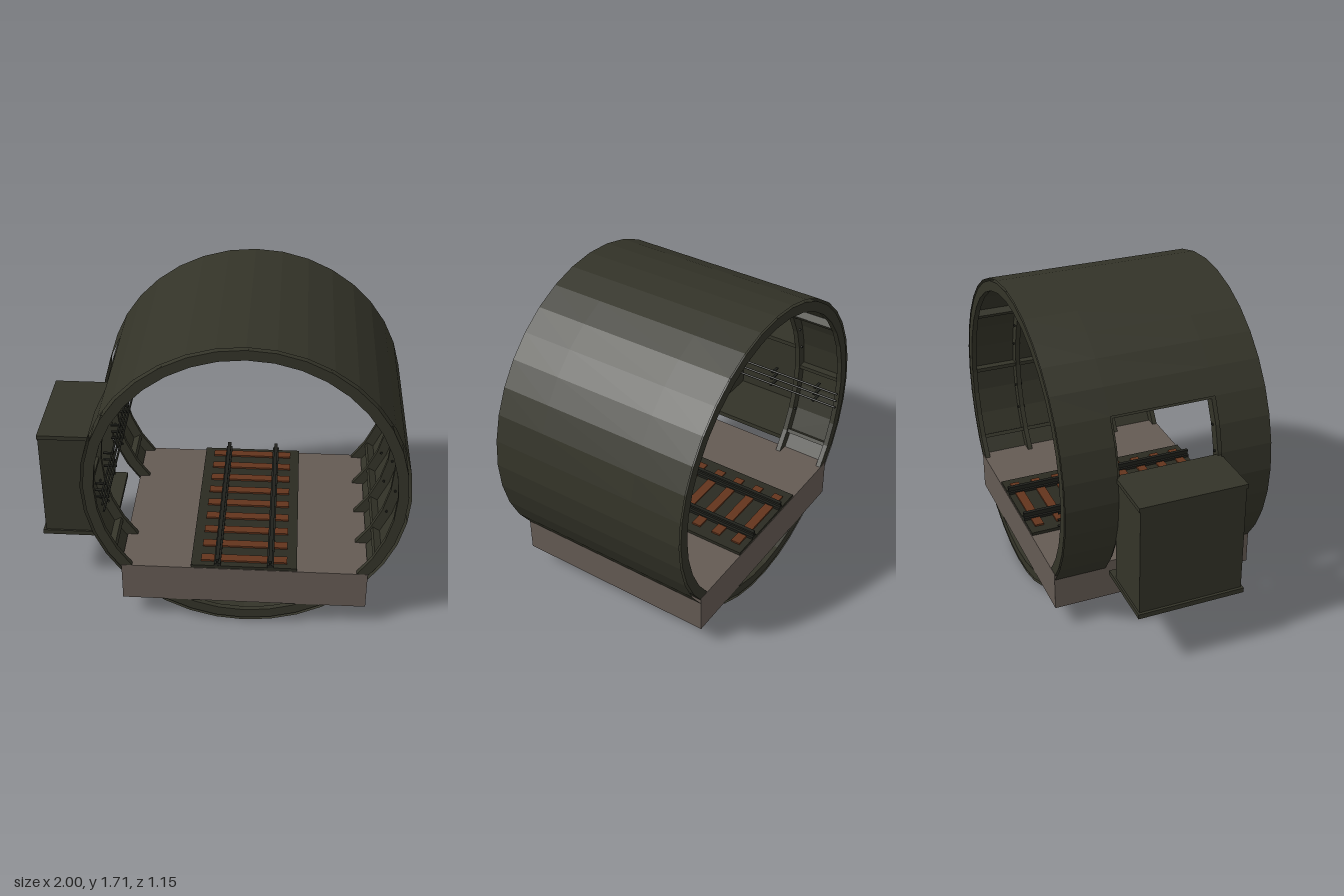
import * as THREE from 'three';

const CX = 0.143, CY = 0.857, HALF = 0.571;
const R_OUT = 0.857, R_SKIN = 0.842, R_RIB = 0.787;
const STEP = 10; // degrees per facet
const rad = THREE.MathUtils.degToRad;

const mat = (name, color, side = THREE.FrontSide) => {
  const m = new THREE.MeshStandardMaterial({ color, side });
  m.name = name;
  return m;
};

export function createModel() {
  const iron = mat('olive iron', 0x333328, THREE.DoubleSide);
  const concrete = mat('concrete', 0x645a53);
  const bedMat = mat('dark ballast', 0x2a2a21);
  const rust = mat('rusty timber', 0x63341c);
  const steel = mat('dark steel', 0x1f201b);

  const model = new THREE.Group();
  model.name = 'tunnelSection';
  const group = (name) => {
    const g = new THREE.Group();
    g.name = name;
    model.add(g);
    return g;
  };
  const add = (parent, name, geo, material, x = 0, y = 0, z = 0) => {
    const m = new THREE.Mesh(geo, material);
    m.name = name;
    m.position.set(x, y, z);
    parent.add(m);
    return m;
  };
  // box given by its limits on each axis
  const box = (parent, name, material, x0, x1, y0, y1, z0, z1) =>
    add(parent, name, new THREE.BoxGeometry(x1 - x0, y1 - y0, z1 - z0), material,
      (x0 + x1) / 2, (y0 + y1) / 2, (z0 + z1) / 2);

  // faceted open skin between two angles (counter-clockwise from +x)
  const skin = (r, a0, a1, z0, z1) => {
    const g = new THREE.CylinderGeometry(r, r, z1 - z0, (a1 - a0) / STEP, 1, true,
      rad(a0 + 90), rad(a1 - a0));
    g.rotateX(Math.PI / 2);
    const flat = g.toNonIndexed();
    flat.computeVertexNormals();
    return flat;
  };

  // faceted arc-shaped bar, extruded along z
  const arcBar = (r0, r1, a0, a1, depth) => {
    const pts = [];
    const put = (r, a) => pts.push(new THREE.Vector2(r * Math.cos(rad(a)), r * Math.sin(rad(a))));
    for (let a = a0; a <= a1; a += STEP) put(r1, a);
    for (let a = a1; a >= a0; a -= STEP) put(r0, a);
    const g = new THREE.ExtrudeGeometry(new THREE.Shape(pts), { depth, bevelEnabled: false });
    g.translate(0, 0, -depth / 2);
    return g;
  };

  // lining: two full end sections and a middle one with a side opening
  const lining = group('tunnelLining');
  const OPEN_TOP = 150, OPEN_END = 220, BAY = 0.285;
  const sections = [
    ['frontSection', 0, 360, BAY, HALF],
    ['middleSection', OPEN_END - 360, OPEN_TOP, -BAY, BAY],
    ['backSection', 0, 360, -HALF, -BAY],
  ];
  for (const [name, a0, a1, z0, z1] of sections) {
    add(lining, name + 'Outside', skin(R_OUT, a0, a1, z0, z1), iron, CX, CY, (z0 + z1) / 2);
    add(lining, name + 'Inside', skin(R_SKIN, a0, a1, z0, z1), iron, CX, CY, (z0 + z1) / 2);
  }

  // ring ribs, cut at the middle where the opening is
  const ribs = group('ringRibs');
  const T = 0.028;
  const ribZ = [-HALF + T / 2, -BAY, 0, BAY, HALF - T / 2];
  ribZ.forEach((z, i) => {
    const full = i !== 2;
    add(ribs, 'ringRib', arcBar(R_RIB, R_SKIN, full ? 0 : OPEN_END - 360, full ? 360 : OPEN_TOP, T),
      iron, CX, CY, z);
  });

  // lengthwise ribs and the bolts on the ring ribs
  const longRibs = group('lengthwiseRibs');
  const bolts = group('ribBolts');
  const boltGeo = new THREE.CylinderGeometry(0.007, 0.007, T + 0.016, 6);
  boltGeo.rotateX(Math.PI / 2);
  for (let a = -30; a <= 210; a += 30) {
    const inOpening = a > OPEN_TOP && a < OPEN_END;
    const spans = inOpening ? [[-HALF, -BAY], [BAY, HALF]] : [[-HALF, HALF]];
    for (const [z0, z1] of spans) {
      const r = (R_RIB + R_SKIN) / 2 + 0.005;
      const rib = add(longRibs, 'lengthwiseRib',
        new THREE.BoxGeometry(R_SKIN - R_RIB - 0.01, 0.022, z1 - z0 - 0.01), iron,
        CX + r * Math.cos(rad(a)), CY + r * Math.sin(rad(a)), (z0 + z1) / 2);
      rib.rotation.z = rad(a);
    }
    for (const z of ribZ.slice(1, 4)) {
      if (z === 0 && inOpening) continue;
      for (const da of [-10, 10]) {
        const b = rad(a + da);
        if (Math.sin(b) < -0.56 || (z === 0 && a + da > OPEN_TOP)) continue;
        add(bolts, 'bolt', boltGeo, steel, CX + 0.81 * Math.cos(b), CY + 0.81 * Math.sin(b), z);
      }
    }
  }

  // floor slab
  box(model, 'floorSlab', concrete, -0.52, 0.808, 0.13, 0.355, -0.573, 0.573);

  // track: bed, sleepers, rails with foot, web and head
  const track = group('track');
  box(track, 'trackBed', bedMat, -0.143, 0.428, 0.35, 0.373, -0.57, 0.57);
  for (let i = 0; i < 9; i++) {
    const z = -0.508 + i * 0.127;
    box(track, 'sleeper', rust, -0.09, 0.375, 0.36, 0.383, z - 0.026, z + 0.026);
  }
  for (const x of [0, 0.285]) {
    const rail = new THREE.Group();
    rail.name = 'rail';
    track.add(rail);
    box(rail, 'railFoot', steel, x - 0.018, x + 0.018, 0.375, 0.39, -0.572, 0.572);
    box(rail, 'railWeb', steel, x - 0.004, x + 0.004, 0.385, 0.41, -0.572, 0.572);
    box(rail, 'railHead', steel, x - 0.01, x + 0.01, 0.407, 0.419, -0.572, 0.572);
  }

  // side niche outside the opening, facing the track
  const niche = group('sideNiche');
  box(niche, 'nicheFloor', iron, -1, -0.6, 0.33, 0.357, -0.295, 0.295);
  box(niche, 'nicheRoof', iron, -0.988, -0.672, 0.962, 0.986, -0.292, 0.292);
  box(niche, 'nicheBackWall', iron, -0.985, -0.96, 0.357, 0.962, -0.285, 0.285);
  for (const s of [-1, 1]) {
    const z = s * 0.275;
    box(niche, 'nicheSideWall', iron, -0.96, -0.672, 0.357, 0.962, z - 0.01, z + 0.01);
  }

  // wall cables with their brackets
  const cables = group('wallCables');
  const cableGeo = new THREE.CylinderGeometry(0.006, 0.006, 1.142, 8);
  cableGeo.rotateX(Math.PI / 2);
  [0.795, 0.752, 0.71].forEach((y, i) => {
    const x = -0.608 + i * 0.006;
    add(cables, 'cable', cableGeo, steel, x, y, 0);
    for (const z of [-0.43, -0.145, 0.14, 0.43]) {
      box(cables, 'cableBracket', steel, -0.66, x + 0.008, y - 0.01, y - 0.004, z - 0.008, z + 0.008);
    }
  });

  return model;
}
